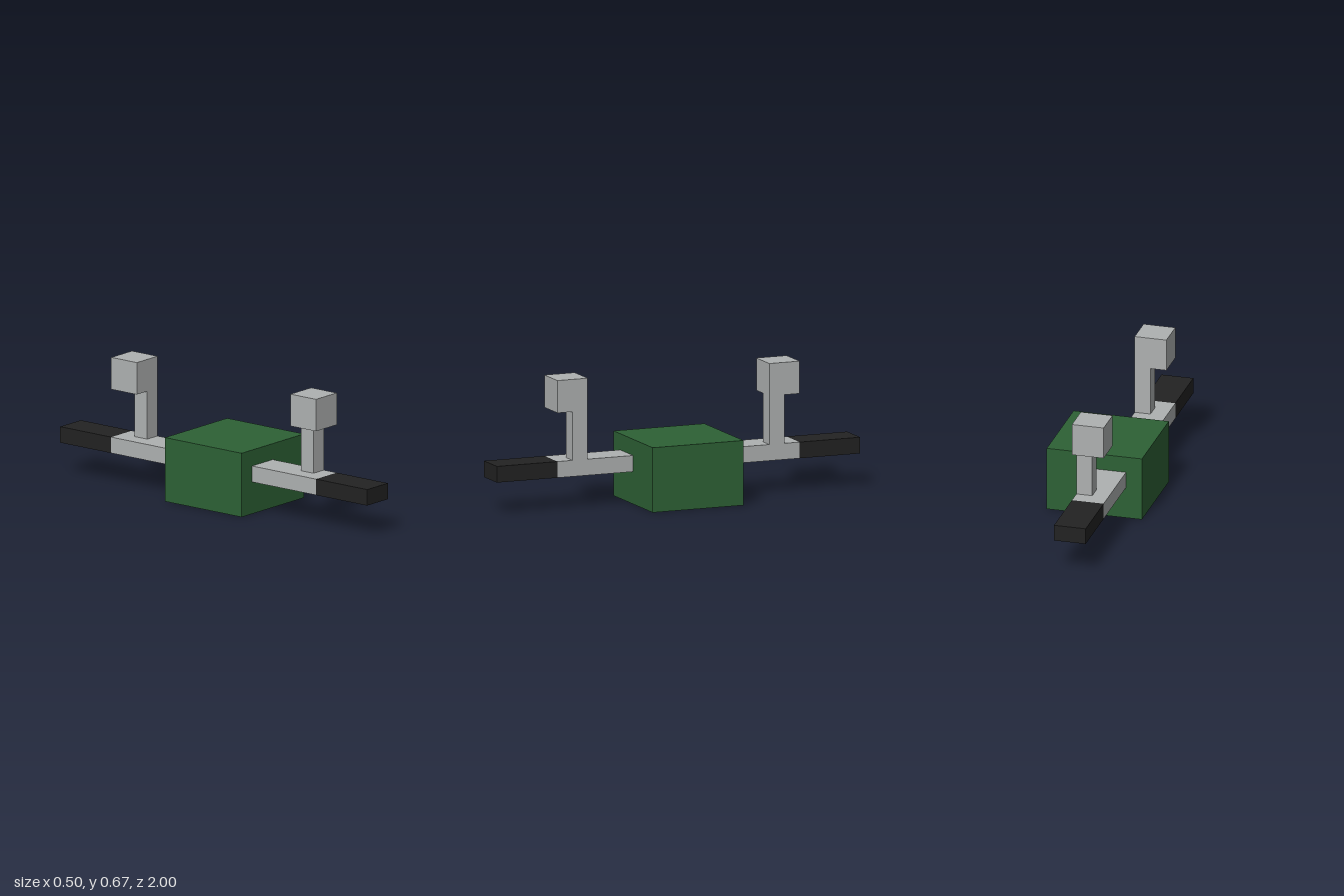
import * as THREE from 'three';

const U = 1 / 12; // modelling unit

function material(name, color) {
  const m = new THREE.MeshStandardMaterial({ color });
  m.name = name;
  return m;
}

export function createModel() {
  const green = material('green', 0x2d6135);
  const grey = material('grey', 0xaeb1b1);
  const black = material('black', 0x222222);
  const model = new THREE.Group();

  // Box given by its min and max corners, in units
  function box(name, mat, min, max, parent) {
    const size = max.map((v, i) => (v - min[i]) * U);
    const mesh = new THREE.Mesh(new THREE.BoxGeometry(...size), mat);
    mesh.position.set(...max.map((v, i) => ((v + min[i]) / 2) * U));
    mesh.name = name;
    parent.add(mesh);
  }

  // Central block
  box('body', green, [-3, 0, -3], [3, 4, 3], model);

  // Arm, tip, post and head, mirrored front to back
  for (const [side, s] of [['front', 1], ['back', -1]]) {
    const group = new THREE.Group();
    group.name = side + 'Arm';
    const part = (name, mat, x0, y0, y1, z0, z1) =>
      box(name, mat, [x0, y0, Math.min(s * z0, s * z1)], [0, y1, Math.max(s * z0, s * z1)], group);
    part('arm', grey, -2, 2, 3, 3, 8);
    part('armTip', black, -2, 2, 3, 8, 12);
    part('post', grey, -1, 3, 6, 6, 7);
    part('postHead', grey, -2, 6, 8, 6, 8);
    model.add(group);
  }
  return model;
}
